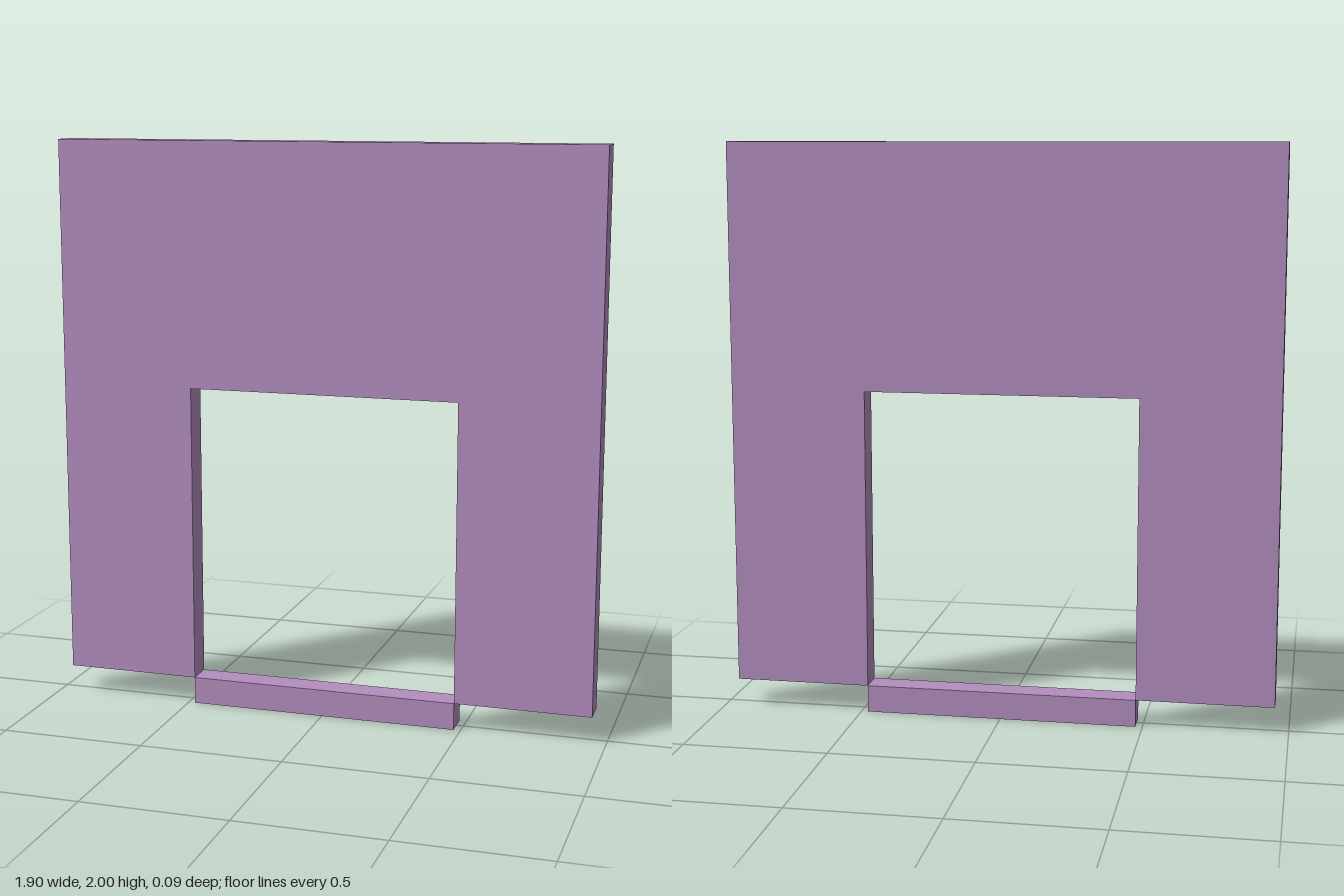
import * as THREE from 'three';

const WIDTH = 1.905, HEIGHT = 2, DEPTH = 0.095;
const SILL = 0.095;
const OPENING_HALF = 0.476, OPENING_TOP = 1.147;

export function createModel() {
  const group = new THREE.Group();
  const material = new THREE.MeshStandardMaterial({ color: 0xb48ec0, flatShading: true });

  const add = (name, geometry) => {
    const mesh = new THREE.Mesh(geometry, material);
    mesh.name = name;
    group.add(mesh);
    return mesh;
  };

  // Wall panel: one slab with a doorway cut up from its lower edge
  const half = WIDTH / 2;
  const outline = new THREE.Shape([
    [-half, SILL], [-OPENING_HALF, SILL], [-OPENING_HALF, OPENING_TOP],
    [OPENING_HALF, OPENING_TOP], [OPENING_HALF, SILL], [half, SILL],
    [half, HEIGHT], [-half, HEIGHT],
  ].map(([x, y]) => new THREE.Vector2(x, y)));
  const wall = new THREE.ExtrudeGeometry(outline, { depth: DEPTH, bevelEnabled: false });
  wall.translate(0, 0, -DEPTH / 2);
  add('wallPanel', wall);

  // Threshold: bar below the doorway, its top level with the wall's lower edge
  const threshold = add('threshold', new THREE.BoxGeometry(OPENING_HALF * 2, SILL, DEPTH));
  threshold.position.y = SILL / 2;

  return group;
}
